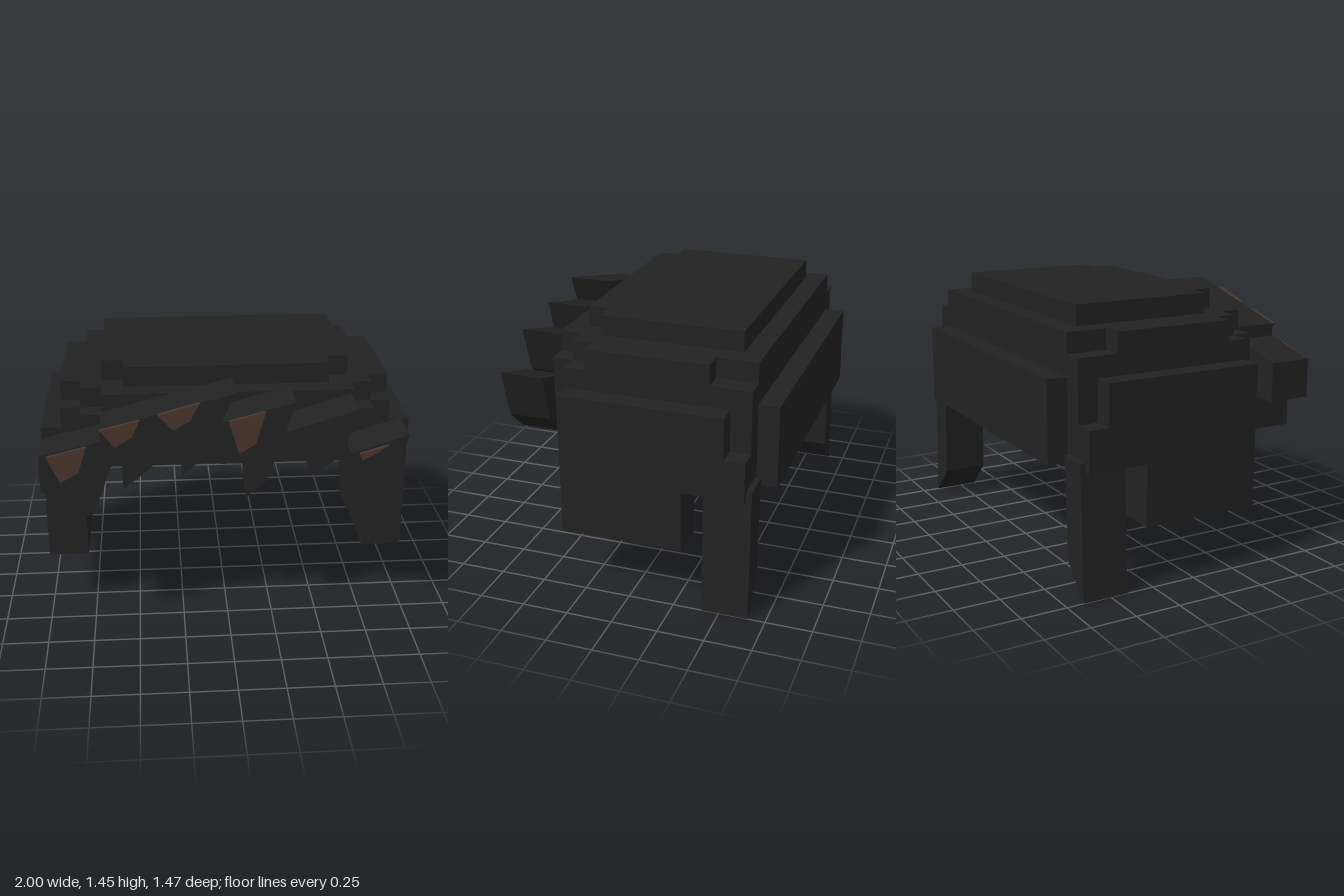
import * as THREE from 'three';

const hairMat = new THREE.MeshStandardMaterial({ color: 0x222222 });
hairMat.name = 'black hair';
const tipMat = new THREE.MeshStandardMaterial({ color: 0x48362c });
tipMat.name = 'brown highlight';

// Box given by its min and max on each axis
function box(name, x0, x1, y0, y1, z0, z1) {
  const m = new THREE.Mesh(new THREE.BoxGeometry(x1 - x0, y1 - y0, z1 - z0), hairMat);
  m.position.set((x0 + x1) / 2, (y0 + y1) / 2, (z0 + z1) / 2);
  m.name = name;
  return m;
}

// Flat outline in x and y, extruded from z0 to z1
function slab(name, pts, z0, z1, mat) {
  const shape = new THREE.Shape(pts.map(([x, y]) => new THREE.Vector2(x, y)));
  const geo = new THREE.ExtrudeGeometry(shape, { depth: z1 - z0, bevelEnabled: false });
  const m = new THREE.Mesh(geo, mat);
  m.position.z = z0;
  m.name = name;
  return m;
}

export function createModel() {
  const group = new THREE.Group();
  group.name = 'blockyHair';

  // Crown layers with stepped corners
  group.add(
    box('crownTop', -0.667, 0.667, 1.33, 1.445, -0.515, 0.26),
    box('crownTopFront', -0.55, 0.55, 1.33, 1.445, 0.26, 0.372),
    box('crownMiddle', -0.78, 0.78, 1.22, 1.335, -0.625, 0.372),
    box('crownMiddleSides', -0.89, 0.89, 1.22, 1.335, -0.405, 0.26),
    box('crownLower', -0.89, 0.89, 1.0, 1.225, -0.625, 0.372),
    box('fringeBase', -0.667, 0.667, 1.0, 1.335, 0.372, 0.485),
    box('fringeBaseWide', -0.78, 0.78, 1.0, 1.225, 0.372, 0.485),
  );

  // Back of the hair, its underside rising in steps toward the front
  group.add(
    box('backPanel', -0.78, 0.78, 0.67, 1.113, -0.737, -0.07),
    box('underStepLow', -0.78, 0.78, 0.78, 1.0, -0.07, 0.04),
    box('underStepHigh', -0.78, 0.78, 0.89, 1.0, 0.04, 0.15),
    box('backCorner', -0.89, 0.89, 0.67, 1.113, -0.625, -0.4),
    box('backCornerLow', -1, 1, 0.67, 0.89, -0.625, -0.4),
  );

  // Side panels and pointed rear strands
  for (const s of [-1, 1]) {
    const side = s > 0 ? 'left' : 'right';
    const span = s > 0 ? [0.78, 1] : [-1, -0.78];
    group.add(
      box(side + 'SideUpper', ...span, 0.67, 1.113, -0.515, 0.372),
      box(side + 'SideLock', ...span, 0.335, 0.67, -0.292, 0.372),
    );
    const strand = [[1, 0], [0.835, 0.165], [0.8, 0.72], [0.965, 0.72]];
    group.add(slab(side + 'RearStrand', strand.map(([x, y]) => [s * x, y]), -0.655, -0.403, hairMat));
  }

  // Swept fringe locks
  const locks = [
    [[-0.985, 1.1], [-0.55, 1.2], [-0.62, 1.03], [-0.71, 0.78], [-0.83, 0.7], [-0.83, 0.89], [-0.985, 0.89]],
    [[-0.67, 1.24], [-0.3, 1.335], [-0.41, 1.02], [-0.56, 0.9], [-0.56, 1.09], [-0.67, 1.09]],
    [[-0.375, 1.315], [0.02, 1.415], [-0.135, 1.07], [-0.255, 0.97], [-0.255, 1.17], [-0.375, 1.17]],
    [[-0.06, 1.26], [0.33, 1.36], [0.19, 0.93], [0.08, 0.835], [0.08, 1.03], [-0.06, 1.03]],
    [[0.29, 1.2], [0.655, 1.31], [0.58, 1.06], [0.42, 0.95], [0.42, 1.125], [0.29, 1.125]],
    [[0.625, 1.07], [0.925, 1.165], [0.85, 0.9], [0.725, 0.78], [0.725, 0.98], [0.625, 0.98]],
  ];
  locks.forEach((pts, i) => group.add(slab('fringeLock' + (i + 1), pts, 0.483, 0.718, hairMat)));

  // Brown highlights on the fringe
  const highlights = [
    [[-0.945, 1.1], [-0.74, 1.15], [-0.785, 1.01], [-0.88, 0.955]],
    [[-0.67, 1.24], [-0.465, 1.29], [-0.505, 1.2], [-0.595, 1.145]],
    [[-0.375, 1.315], [-0.16, 1.375], [-0.21, 1.28], [-0.295, 1.23]],
    [[-0.015, 1.27], [0.175, 1.32], [0.125, 1.145], [0.04, 1.09]],
    [[0.665, 1.07], [0.815, 1.115], [0.755, 1.075], [0.68, 1.035]],
  ];
  highlights.forEach((pts, i) => group.add(slab('highlight' + (i + 1), pts, 0.715, 0.737, tipMat)));

  return group;
}
